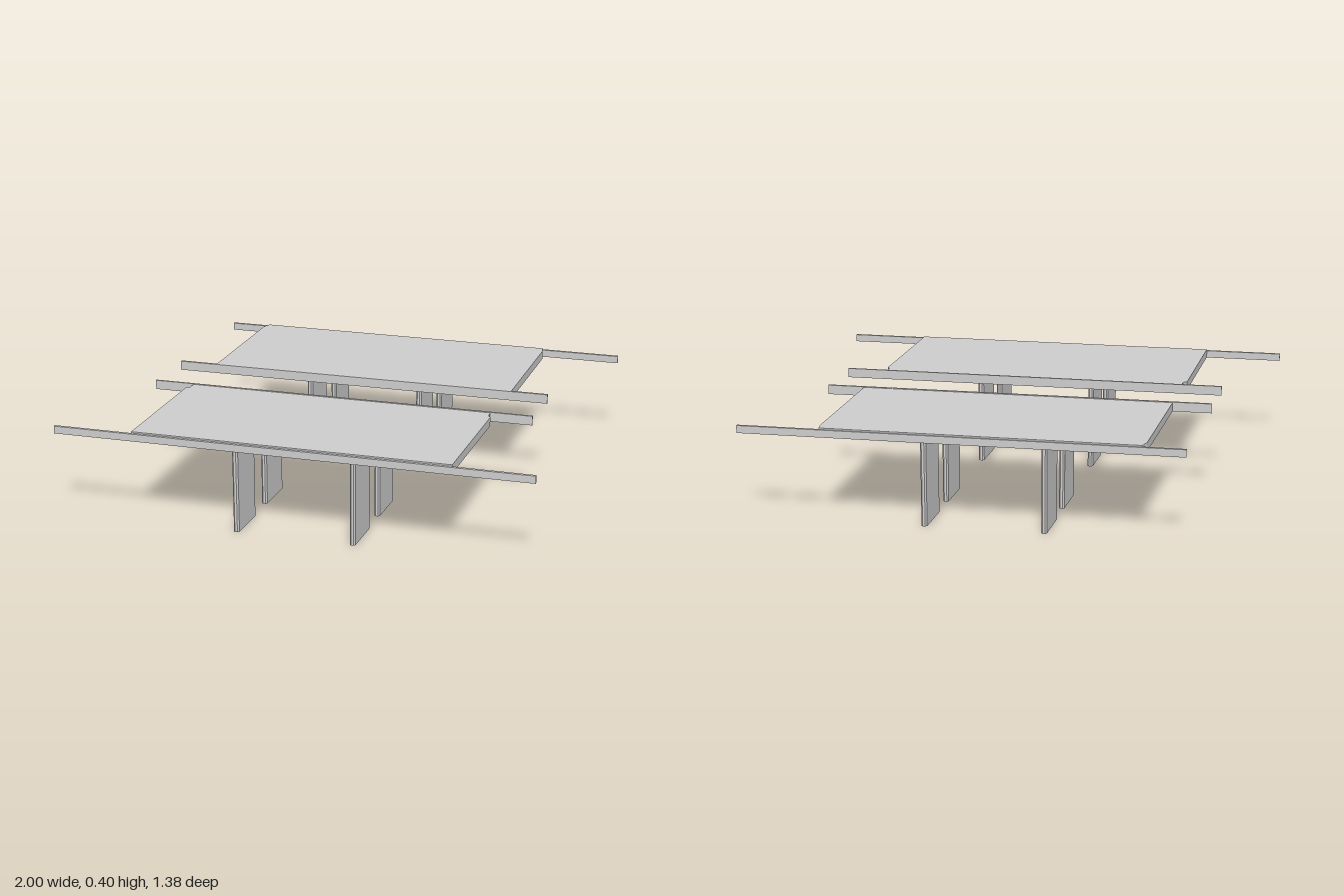
import * as THREE from 'three';

const material = new THREE.MeshStandardMaterial({ color: 0xcccccc, flatShading: true });
const UNDERSIDE = 0.358;
const SKEW = -0.085; // sideways shift of the supports per unit of z

// Extrudes an outline of [x, z] points vertically between two heights.
function slab(name, outline, bottom, top) {
  const shape = new THREE.Shape(outline.map(([x, z]) => new THREE.Vector2(x, z)));
  const geometry = new THREE.ExtrudeGeometry(shape, { depth: top - bottom, bevelEnabled: false });
  geometry.rotateX(Math.PI / 2);
  geometry.translate(0, top, 0);
  const mesh = new THREE.Mesh(geometry, material);
  mesh.name = name;
  return mesh;
}

// Thin parapet running from x0 to x1, its centre line going from z0 to z1.
function rail(name, x0, x1, z0, z1, thickness, top) {
  const t = thickness / 2;
  return slab(name, [[x0, z0 - t], [x1, z1 - t], [x1, z1 + t], [x0, z0 + t]], UNDERSIDE, top);
}

// Skewed wall pier with chamfered ends.
function pier(name, x, z) {
  const half = 0.086, w = 0.011, c = 0.006;
  const profile = [
    [-w + c, -half], [w - c, -half], [w, -half + c], [w, half - c],
    [w - c, half], [-w + c, half], [-w, half - c], [-w, -half + c],
  ];
  return slab(name, profile.map(([px, pz]) => [x + px + SKEW * pz, z + pz]), 0, UNDERSIDE + 0.005);
}

function bridge(name, { deck, rails, pierX, pierZ }) {
  const group = new THREE.Group();
  group.name = name;
  group.add(slab('deck', deck, UNDERSIDE, 0.394));
  for (const r of rails) group.add(rail(...r));
  const middle = (pierZ[0] + pierZ[1]) / 2;
  for (const x of pierX)
    for (const z of pierZ) group.add(pier('pier', x + SKEW * (z - middle), z));
  return group;
}

export function createModel() {
  const model = new THREE.Group();
  model.name = 'twinBridge';
  model.add(
    bridge('frontBridge', {
      deck: [[-0.685, 0.675], [-0.645, 0.17], [-0.63, 0.155], [-0.627, 0.12],
        [0.605, 0.12], [0.605, 0.155], [0.615, 0.17], [0.572, 0.675]],
      rails: [
        ['outerRail', -1, 0.885, 0.68, 0.681, 0.011, 0.388],
        ['innerRail', -0.79, 0.773, 0.119, 0.119, 0.008, 0.396],
      ],
      pierX: [-0.265, 0.2],
      pierZ: [0.263, 0.548],
    }),
    bridge('backBridge', {
      deck: [[-0.615, -0.13], [-0.57, -0.65], [-0.555, -0.685],
        [0.676, -0.685], [0.681, -0.65], [0.64, -0.13]],
      rails: [
        ['outerRail', -0.72, 1, -0.685, -0.686, 0.011, 0.388],
        ['innerRail', -0.77, 0.79, -0.127, -0.131, 0.01, 0.396],
      ],
      pierX: [-0.2, 0.267],
      pierZ: [-0.26, -0.545],
    }),
  );
  return model;
}
